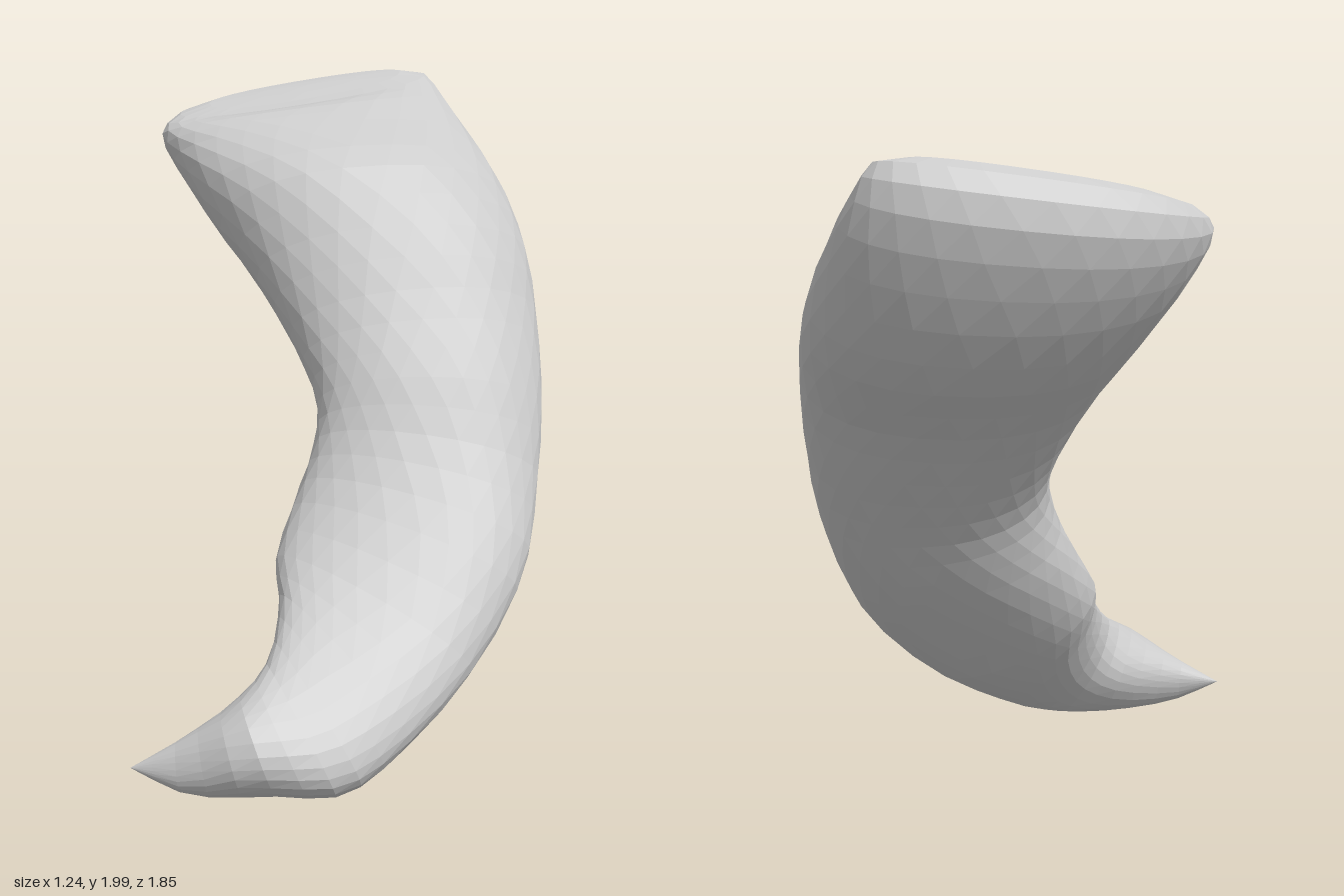
import * as THREE from 'three';

// Cross-sections from the pointed tip up to the broad end:
// [inner edge x, y, z,  outer edge x, y, z,  bulge to the front, bulge to the back, tilt of the bulge in radians]
const SECTIONS = [
  [-0.57, 0.10, 0.82, -0.57, 0.10, 0.82, 0.00, 0.00, 0.4],
  [-0.42, 0.18, 0.78, -0.40, 0.03, 0.84, 0.06, 0.07, 0.4],
  [-0.28, 0.26, 0.69, -0.18, 0.02, 0.82, 0.17, 0.15, 0.4],
  [-0.20, 0.34, 0.60, 0.02, 0.03, 0.82, 0.13, 0.17, 0.6],
  [-0.18, 0.45, 0.42, 0.18, 0.11, 0.70, 0.135, 0.19, 0.7],
  [-0.20, 0.55, 0.28, 0.39, 0.27, 0.46, 0.15, 0.19, 0.7],
  [-0.15, 0.70, 0.14, 0.55, 0.50, 0.23, 0.165, 0.20, 0.7],
  [-0.10, 0.84, 0.06, 0.60, 0.73, 0.03, 0.18, 0.22, 0.7],
  [-0.09, 0.98, 0.00, 0.62, 0.96, -0.13, 0.20, 0.24, 0.7],
  [-0.16, 1.14, -0.09, 0.61, 1.18, -0.27, 0.215, 0.26, 0.7],
  [-0.29, 1.34, -0.20, 0.58, 1.39, -0.41, 0.245, 0.28, 0.7],
  [-0.44, 1.52, -0.31, 0.51, 1.57, -0.60, 0.29, 0.29, 0.68],
  [-0.57, 1.68, -0.42, 0.41, 1.74, -0.74, 0.24, 0.25, 0.5],
  [-0.62, 1.79, -0.48, 0.30, 1.90, -0.83, 0.19, 0.20, 0.15],
  [-0.52, 1.87, -0.54, 0.20, 1.98, -0.84, 0.13, 0.09, -0.3],
  [-0.15, 1.94, -0.70, -0.15, 1.94, -0.70, 0.00, 0.00, -0.3],
];

const RINGS = 36;
const SIDES = 26;

function hornGeometry() {
  const curve = (k) => new THREE.CatmullRomCurve3(
    SECTIONS.map((s) => new THREE.Vector3(s[k], s[k + 1], s[k + 2])), false, 'catmullrom', 0.5);
  const inner = curve(0);
  const outer = curve(3);
  const bulge = curve(6);
  const soften = (v) => Math.sign(v) * Math.abs(v) ** 0.9;

  const positions = [];
  const index = [];
  for (let i = 0; i <= RINGS; i++) {
    const u = i / RINGS;
    const a = inner.getPoint(u);
    const b = outer.getPoint(u);
    const d = bulge.getPoint(u);
    const centre = a.clone().add(b).multiplyScalar(0.5);
    const across = b.clone().sub(a).multiplyScalar(0.5);
    const through = new THREE.Vector3(0, Math.sin(d.z), Math.cos(d.z));
    for (let j = 0; j < SIDES; j++) {
      // Alternate rings are turned half a step for irregular facets
      const t = ((j + (i % 2) * 0.5) / SIDES) * Math.PI * 2;
      const s = Math.sin(t);
      const p = centre.clone()
        .addScaledVector(across, soften(Math.cos(t)))
        .addScaledVector(through, soften(s) * (s > 0 ? d.x : d.y));
      positions.push(p.x, p.y, p.z);
      if (i === RINGS) continue;
      const k = (j + 1) % SIDES;
      const p0 = i * SIDES + j, p1 = i * SIDES + k;
      const q0 = p0 + SIDES, q1 = p1 + SIDES;
      if (i === 0) index.push(p0, q0, q1);
      else if (i === RINGS - 1) index.push(p0, q0, p1);
      else if (i % 2) index.push(p0, q0, q1, p0, q1, p1);
      else index.push(p0, q0, p1, p1, q0, q1);
    }
  }
  const geometry = new THREE.BufferGeometry();
  geometry.setAttribute('position', new THREE.Float32BufferAttribute(positions, 3));
  geometry.setIndex(index);
  geometry.computeVertexNormals();
  return geometry;
}

export function createModel() {
  const group = new THREE.Group();
  group.name = 'curvedHorn';
  const material = new THREE.MeshStandardMaterial({ color: 0xcccccc, flatShading: true });
  const horn = new THREE.Mesh(hornGeometry(), material);
  horn.name = 'hornBody';
  group.add(horn);
  return group;
}
